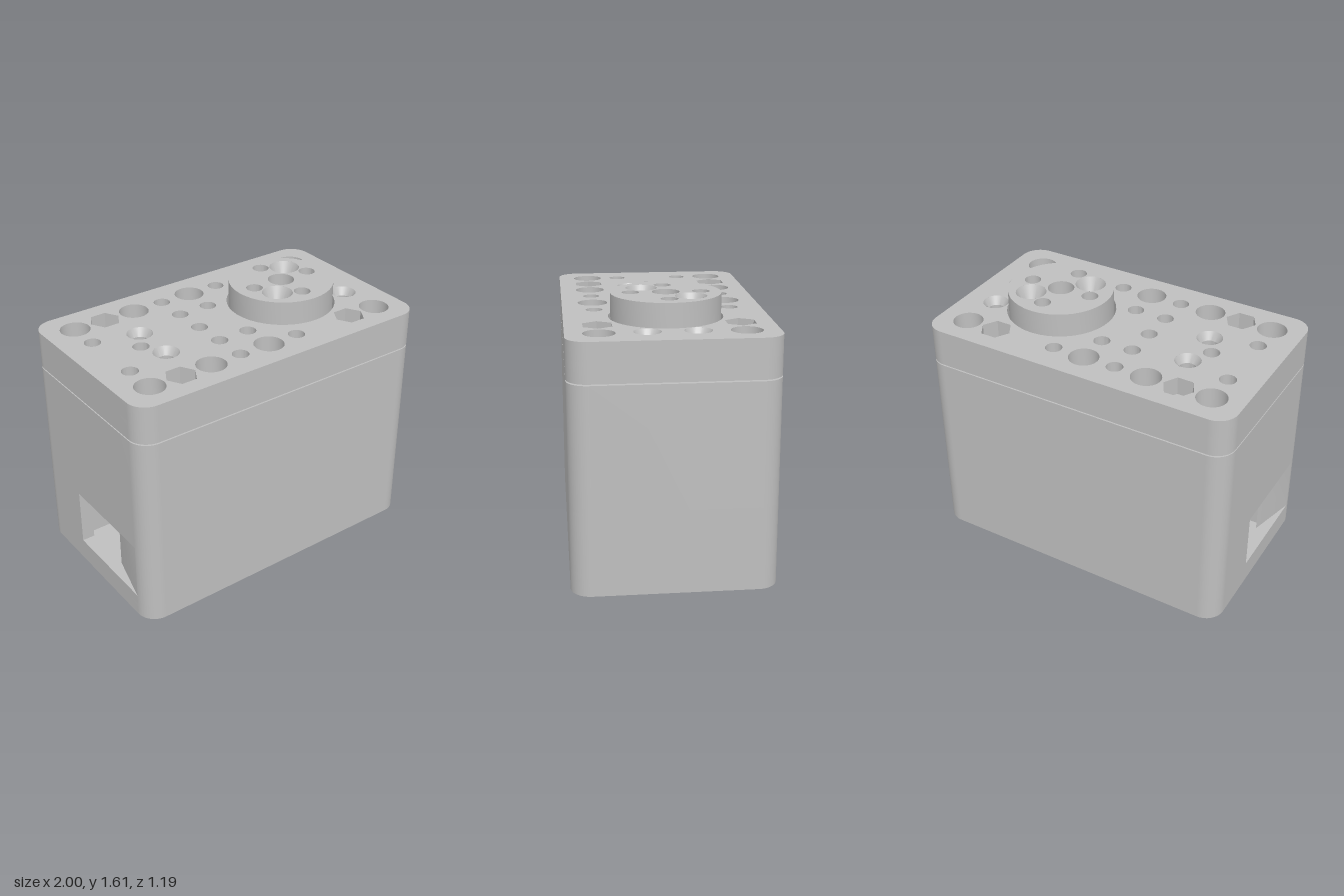
import * as THREE from 'three';
import { toCreasedNormals } from 'three/addons/utils/BufferGeometryUtils.js';

const HX = 1, HZ = 0.593, R = 0.12;      // outer half sizes and corner radius
const CX = 0.92, CZ = 0.28;              // cavity half sizes
const WIN = 0.165;                       // half width of the cable window
const ROW = 0.405;                       // z of the two outer hole rows
const HUB_X = 0.405;

// Hole as [x, z, radius, sides]
const circle = ([x, z, r, sides = 0]) => {
  const p = new THREE.Path();
  if (sides) {
    p.setFromPoints(Array.from({ length: sides }, (_, i) => {
      const a = (i / sides) * Math.PI * 2;
      return new THREE.Vector2(x + r * Math.cos(a), -z + r * Math.sin(a));
    }));
    p.closePath();
  } else p.absarc(x, -z, r, 0, Math.PI * 2, true);
  return p;
};

// Rounded outline; with notch it is cut open on the -x side into the cavity
function outline(notch) {
  const s = new THREE.Shape();
  s.moveTo(-HX, -WIN);
  s.absarc(-HX + R, -HZ + R, R, Math.PI, Math.PI * 1.5);
  s.absarc(HX - R, -HZ + R, R, Math.PI * 1.5, Math.PI * 2);
  s.absarc(HX - R, HZ - R, R, 0, Math.PI / 2);
  s.absarc(-HX + R, HZ - R, R, Math.PI / 2, Math.PI);
  s.lineTo(-HX, WIN);
  if (notch) {
    for (const [x, y] of [[-CX, WIN], [-CX, CZ], [CX, CZ], [CX, -CZ], [-CX, -CZ], [-CX, -WIN]]) s.lineTo(x, y);
  }
  s.closePath();
  return s;
}

function cavity() {
  return new THREE.Path().setFromPoints(
    [[-CX, -CZ], [-CX, CZ], [CX, CZ], [CX, -CZ], [-CX, -CZ]].map(([x, y]) => new THREE.Vector2(x, y)));
}

export function createModel() {
  const group = new THREE.Group();
  const grey = new THREE.MeshStandardMaterial({ color: 0xbfbfbf });
  grey.name = 'plain grey';
  const greyOpen = grey.clone();
  greyOpen.side = THREE.DoubleSide;
  greyOpen.name = 'plain grey two sided';

  const add = (name, geo, mat = grey) => {
    const m = new THREE.Mesh(geo, mat);
    m.name = name;
    group.add(m);
    return m;
  };

  // Horizontal slab from y0 to y1
  const slab = (name, shape, holes, y0, y1) => {
    shape.holes.push(...holes);
    const geo = new THREE.ExtrudeGeometry(shape, { depth: y1 - y0, bevelEnabled: false, curveSegments: 20 });
    geo.rotateX(-Math.PI / 2).translate(0, y0, 0);
    return add(name, toCreasedNormals(geo, 0.5));
  };

  // Sloping seat of a countersunk hole
  const countersink = (x, z, rTop, rLow, yTop, yLow, yFloor) => {
    const pts = [[rLow, yFloor], [rLow, yLow], [rTop, yTop]].map(([r, y]) => new THREE.Vector2(r, y));
    const geo = toCreasedNormals(new THREE.LatheGeometry(pts, 32), 0.4);
    add('countersink', geo, greyOpen).position.set(x, 0, z);
  };

  // Hole rows running through the whole case
  const both = (list) => list.flatMap(([x, ...rest]) => [[x, -ROW, ...rest], [x, ROW, ...rest]]);
  const through = both([[-0.81, 0.09], [-0.405, 0.09], [0, 0.09], [0.81, 0.09], [-0.203, 0.05], [0.203, 0.05]]);
  const boltAt = [-0.608, 0.608];
  const bolts = both(boltAt.map((x) => [x, 0.05]));
  const bores = both(boltAt.map((x) => [x, 0.09]));
  const hexes = both(boltAt.map((x) => [x, 0.095, 6]));
  const low = [...through, ...bores].map(circle);
  const high = [...through, ...bolts].map(circle);

  // Body: floor, wall around the cavity, wall with cable window, upper wall
  slab('bodyFloor', outline(), low, 0, 0.08);
  slab('bodyLowerWall', outline(), [...low, cavity()], 0.08, 0.14);
  slab('bodyWindowWall', outline(true), low, 0.14, 0.5);
  slab('bodyUpperWall', outline(), [...high, cavity()], 0.5, 1.23);

  // Motor and gearbox inside
  for (const [name, x] of [['motor', -0.5], ['gearbox', 0.4]]) {
    add(name, new THREE.CylinderGeometry(0.26, 0.26, 0.94, 40)).position.set(x, 0.77, 0);
  }

  // Lid: lower plate, then top plate with blind holes, nut pockets and hub pocket
  const blind = [[-0.61, 0, 0.05], [-0.203, 0, 0.05]];
  for (const x of [-0.81, -0.203, 0]) blind.push([x, -0.203, 0.05], [x, 0.203, 0.05]);
  const screws = [-0.53, 0.795].flatMap((x) => [[x, -0.14, 0.078], [x, 0.14, 0.078]]);
  slab('lidPlate', outline(), high, 1.238, 1.36);
  slab('lidTop', outline(),
    [...through, ...hexes, ...blind, ...screws, [HUB_X, 0, 0.333]].map(circle), 1.36, 1.47);
  for (const [x, z, r] of screws) countersink(x, z, r, 0.05, 1.47, 1.42, 1.36);

  // Output hub with mounting holes and two countersunk screws
  const hubShape = new THREE.Shape();
  hubShape.absarc(HUB_X, 0, 0.32, 0, Math.PI * 2, false);
  const hubHoles = [[0, 0, 0.08], [0.203, 0, 0.05], [-0.203, 0, 0.05], [0, 0.203, 0.05], [0, -0.203, 0.05]];
  const hubScrews = [[0.13, -0.13, 0.092], [-0.13, 0.13, 0.092]];
  const moved = [...hubHoles, ...hubScrews].map(([x, z, r]) => circle([x + HUB_X, z, r]));
  slab('hub', hubShape, moved, 1.36, 1.61);
  for (const [x, z, r] of hubScrews) countersink(x + HUB_X, z, r, 0.05, 1.61, 1.52, 1.36);

  // Shaft end with a screw hole inside the hub
  const shaft = new THREE.Shape();
  shaft.absarc(HUB_X, 0, 0.08, 0, Math.PI * 2, false);
  slab('shaft', shaft, [circle([HUB_X, 0, 0.04])], 1.36, 1.5);

  return group;
}
